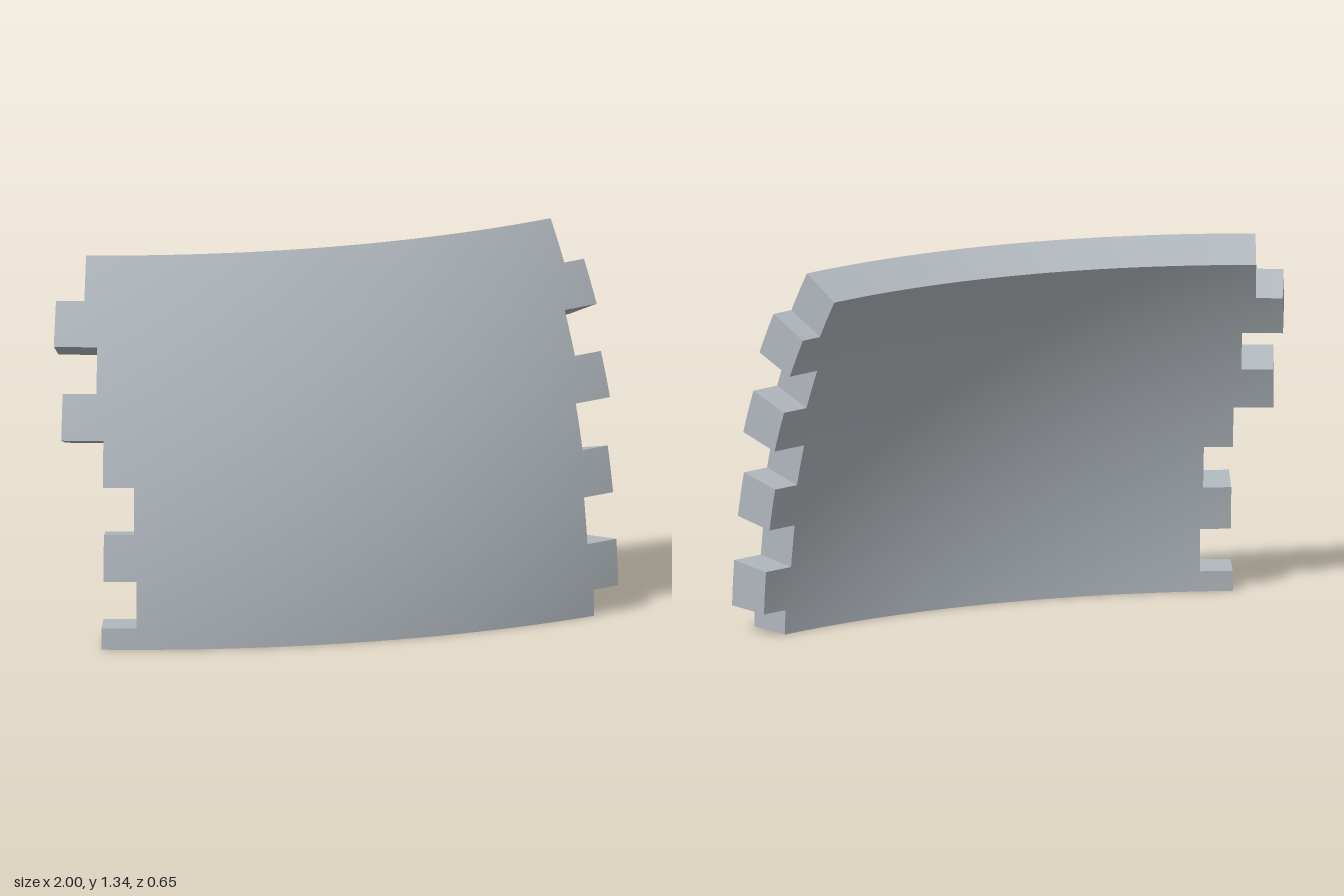
import * as THREE from 'three';

const R_OUT = 2.69, R_IN = 2.53, CENTRE_Z = -2.37;
const PITCH = 3.49; // course height in degrees

// Course ends from bottom to top: azimuth in degrees [right, left]
const COURSES = [
  [-19.55, 19.3], [-16.95, 21.6], [-19.4, 18.9], [-17.15, 21.65], [-19.5, 19.25],
  [-22.75, 22.6], [-20.1, 20.0], [-23.6, 23.3], [-21.25, 21.2],
];

// Point on the dome from azimuth, elevation and radius
function dome(az, el, r) {
  const a = THREE.MathUtils.degToRad(az), e = THREE.MathUtils.degToRad(el);
  return new THREE.Vector3(r * Math.cos(e) * Math.sin(a), r * Math.sin(e), r * Math.cos(e) * Math.cos(a) + CENTRE_Z);
}

// Bed joint k; the joints climb slightly towards the left side
const joint = (k, az) => (k === 0 ? 0 : 1.8 + PITCH * (k - 1) + 0.0095 * az);

// Azimuth samples on a shared one-degree grid
function samples(from, to) {
  const list = [from];
  for (let a = Math.floor(from) + 1; a < to - 0.01; a++) list.push(a);
  list.push(to);
  return list;
}

// Surface over us x vs, facing du x dv; curve = 1 or -1 gives exact dome normals
function sheet(us, vs, fn, curve = 0) {
  const pos = [], nor = [], index = [];
  const centre = new THREE.Vector3(0, 0, CENTRE_Z);
  for (const v of vs) for (const u of us) {
    const p = fn(u, v);
    pos.push(...p.toArray());
    nor.push(...p.clone().sub(centre).normalize().multiplyScalar(curve).toArray());
  }
  const n = us.length;
  for (let j = 0; j < vs.length - 1; j++) for (let i = 0; i < n - 1; i++) {
    const a = j * n + i;
    index.push(a, a + 1, a + n, a + 1, a + n + 1, a + n);
  }
  const geo = new THREE.BufferGeometry();
  geo.setAttribute('position', new THREE.Float32BufferAttribute(pos, 3));
  geo.setIndex(index);
  if (curve) geo.setAttribute('normal', new THREE.Float32BufferAttribute(nor, 3));
  else geo.computeVertexNormals();
  return geo;
}

export function createModel() {
  const group = new THREE.Group();
  group.name = 'curvedWallPanel';
  const stone = new THREE.MeshStandardMaterial({ color: 0xb0b7bd });
  stone.name = 'paleGrey';

  COURSES.forEach(([lo, hi], k) => {
    const course = new THREE.Group();
    course.name = `course${k + 1}`;
    group.add(course);
    const add = (name, geo) => {
      const mesh = new THREE.Mesh(geo, stone);
      mesh.name = name;
      course.add(mesh);
    };
    const at = (az, t, r) => dome(az, THREE.MathUtils.lerp(joint(k, az), joint(k + 1, az), t), r);
    const az = samples(lo, hi), rows = [0, 0.25, 0.5, 0.75, 1];

    // Curved faces
    add('outerFace', sheet(az, rows, (a, t) => at(a, t, R_OUT), 1));
    add('innerFace', sheet([...az].reverse(), rows, (a, t) => at(a, t, R_IN), -1));

    // Toothed ends
    add('leftEnd', sheet([R_OUT, R_IN], rows, (r, t) => at(hi, t, r)));
    add('rightEnd', sheet([R_IN, R_OUT], rows, (r, t) => at(lo, t, r)));

    // Bed faces, only where the neighbouring course leaves them open
    const bed = (name, neighbour, t, radii) => {
      const spans = neighbour ? [[lo, neighbour[0]], [neighbour[1], hi]] : [[lo, hi]];
      for (const [from, to] of spans) {
        if (to - from > 0.01) add(name, sheet(samples(from, to), radii, (a, r) => at(a, t, r)));
      }
    };
    bed('topBed', COURSES[k + 1], 1, [R_OUT, R_IN]);
    bed('bottomBed', COURSES[k - 1], 0, [R_IN, R_OUT]);
  });
  return group;
}
